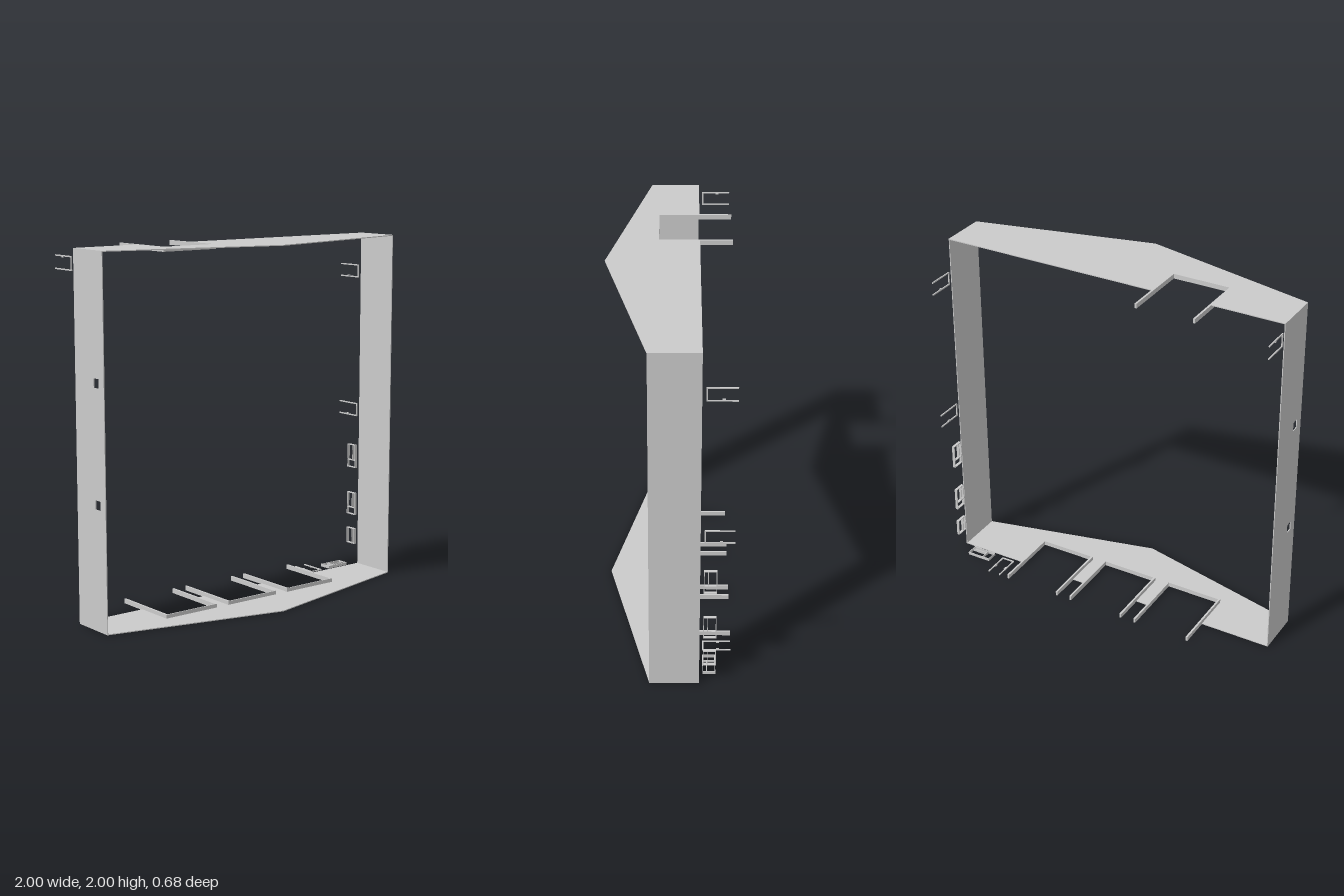
import * as THREE from 'three';

const T = 0.005;            // sheet thickness
const BACK = -0.165, SIDE_FRONT = 0.1, NOSE = 0.335, REAR = -0.34;
const NOTCH_FRONT = 0.055, NOTCH_HALF = 0.16, LIP = 0.011, LIP_H = 0.026;

const material = new THREE.MeshStandardMaterial({ color: 0xcccccc, flatShading: true, side: THREE.DoubleSide });

function add(parent, geometry, name) {
  const mesh = new THREE.Mesh(geometry, material);
  mesh.name = name;
  parent.add(mesh);
  return mesh;
}

function block(parent, name, x0, x1, y0, y1, z0, z1) {
  const g = new THREE.BoxGeometry(x1 - x0, y1 - y0, z1 - z0);
  g.translate((x0 + x1) / 2, (y0 + y1) / 2, (z0 + z1) / 2);
  return add(parent, g, name);
}

const sheet = (shape) => new THREE.ExtrudeGeometry(shape, { depth: T, bevelEnabled: false });

// Pointed horizontal plate with rectangular notches cut in from the back edge
function plate(parent, name, yTop, notches) {
  const pts = [[-1, BACK]];
  for (const c of notches) {
    const a = c - NOTCH_HALF, b = c + NOTCH_HALF;
    pts.push([a, BACK], [a, NOTCH_FRONT], [b, NOTCH_FRONT], [b, BACK]);
  }
  pts.push([1, BACK], [1, SIDE_FRONT], [0, NOSE], [-1, SIDE_FRONT]);
  const g = sheet(new THREE.Shape(pts.map(([x, z]) => new THREE.Vector2(x, z))));
  g.rotateX(Math.PI / 2);
  g.translate(0, yTop, 0);
  add(parent, g, name);
}

// Vertical side panel, optionally with square holes
function sidePanel(parent, name, xOuter, holes) {
  const rect = (Type, z0, z1, y0, y1) =>
    new Type([[z0, y0], [z1, y0], [z1, y1], [z0, y1]].map((p) => new THREE.Vector2(...p)));
  const shape = rect(THREE.Shape, BACK, SIDE_FRONT, 0, 2);
  for (const y of holes) shape.holes.push(rect(THREE.Path, 0.008, 0.052, y - 0.025, y + 0.025));
  const g = sheet(shape);
  g.rotateY(-Math.PI / 2);
  g.translate(xOuter, 0, 0);
  add(parent, g, name);
}

// U-shaped lip around a notch, running out past the back edge
function notchLip(parent, name, c, y0) {
  const u = new THREE.Group();
  u.name = name;
  const y1 = y0 + LIP_H, outer = NOTCH_HALF + LIP;
  block(u, 'lipSide', c - outer, c - NOTCH_HALF, y0, y1, REAR, NOTCH_FRONT);
  block(u, 'lipSide', c + NOTCH_HALF, c + outer, y0, y1, REAR, NOTCH_FRONT);
  block(u, 'lipFront', c - outer, c + outer, y0, y1, NOTCH_FRONT, NOTCH_FRONT + 0.006);
  parent.add(u);
}

// Wall on the floor or a side: u runs along the wall, depth points inward
function wall(parent, place, u0, u1, z0, z1, depth) {
  if (place === 'floor') block(parent, 'wall', u0, u1, 0, depth, z0, z1);
  else if (place === 'left') block(parent, 'wall', 1 - depth, 1, u0, u1, z0, z1);
  else block(parent, 'wall', -1, -1 + depth, u0, u1, z0, z1);
}

// C-shaped clip open to the back; nubs: 0 = low arm, 1 = high arm
function clip(parent, place, u0, u1, nubs) {
  const g = new THREE.Group();
  g.name = 'clip';
  const w = 0.007, d = 0.006, z = -0.185;
  wall(g, place, u0, u0 + w, REAR, z, d);
  wall(g, place, u1 - w, u1, REAR, z, d);
  wall(g, place, u0 + w, u1 - w, z - w, z, d);
  for (const n of nubs) {
    const u = n ? u1 - w - 0.006 : u0 + w + 0.002;
    wall(g, place, u, u + 0.004, -0.278, -0.262, d);
  }
  parent.add(g);
}

// Thin-walled rectangular socket, with a rib and an optional cross divider
function socket(parent, place, u0, u1, divider) {
  const g = new THREE.Group();
  g.name = 'socket';
  const w = 0.004, d = 0.016, z0 = -0.253, z1 = -0.184;
  wall(g, place, u0, u0 + w, z0, z1, d);
  wall(g, place, u1 - w, u1, z0, z1, d);
  wall(g, place, u0, u1, z0, z0 + w, d);
  wall(g, place, u0, u1, z1 - w, z1, d);
  if (divider) wall(g, place, divider - w / 2, divider + w / 2, z0, z1, d);
  wall(g, place, divider || u0, u1, -0.209, -0.205, d);
  parent.add(g);
}

export function createModel() {
  const model = new THREE.Group();
  model.name = 'openFrame';
  const spacing = 0.422;

  plate(model, 'topPlate', 2, [-spacing]);
  plate(model, 'bottomPlate', T, [-spacing, 0, spacing]);
  sidePanel(model, 'leftPanel', 1, []);
  sidePanel(model, 'rightPanel', -1 + T, [0.68, 1.32]);

  notchLip(model, 'topNotchLip', -spacing, 2 - LIP_H);
  for (const c of [-spacing, 0, spacing]) notchLip(model, 'bottomNotchLip', c, 0);

  clip(model, 'right', 1.88, 1.957, [1]);
  clip(model, 'left', 1.735, 1.812, [0]);
  clip(model, 'left', 0.905, 0.984, [0]);
  clip(model, 'floor', 0.647, 0.727, [0, 1]);

  socket(model, 'left', 0.59, 0.73, 0.635);
  socket(model, 'left', 0.3, 0.435, 0.343);
  socket(model, 'left', 0.12, 0.215, 0);
  socket(model, 'floor', 0.782, 0.925, 0.828);

  return model;
}
